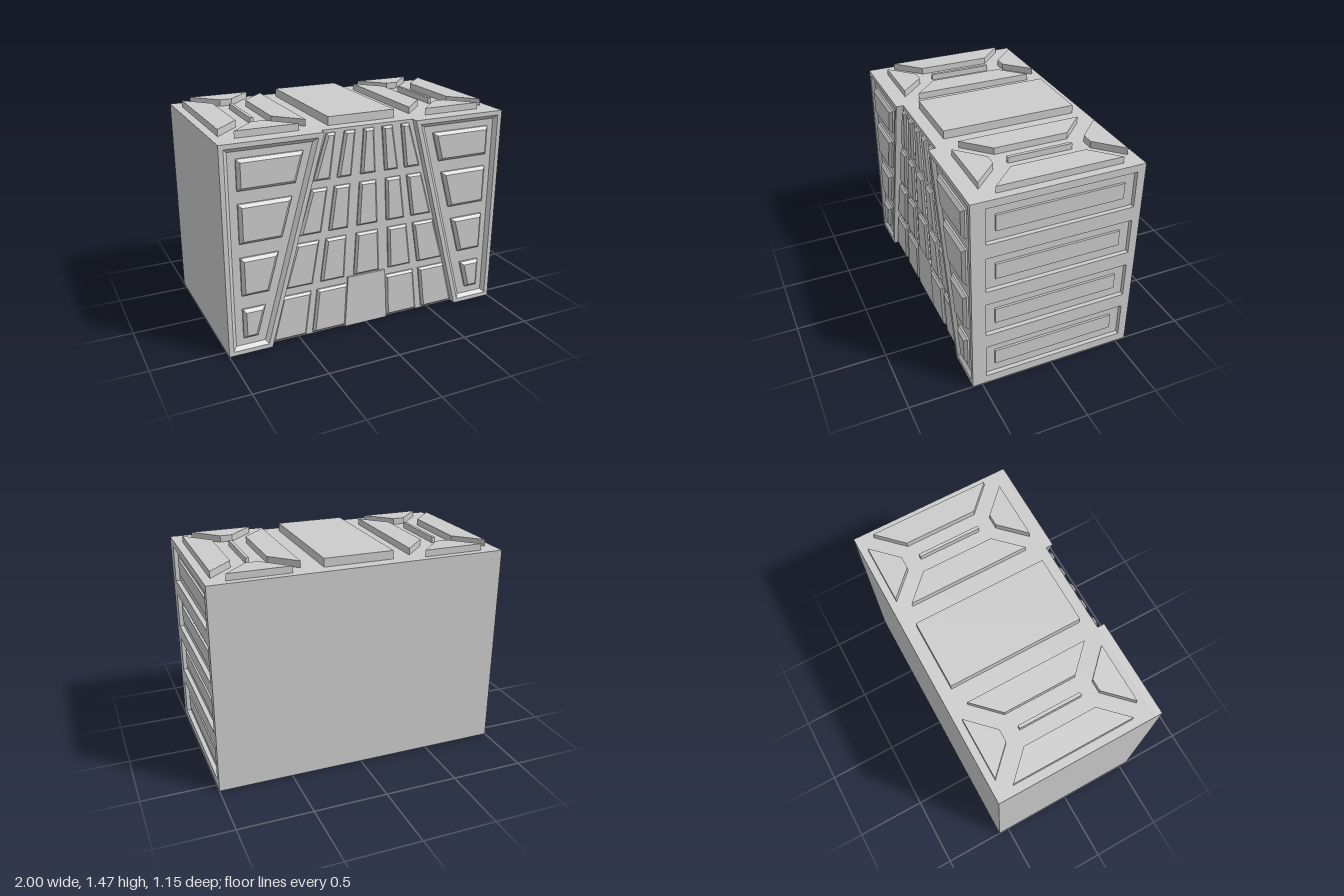
import * as THREE from 'three';

const grey = new THREE.MeshStandardMaterial({ color: 0xcccccc, flatShading: true });
const FLOOR = 0.515, RIM = 0.565, TOP = 1.41;

function add(parent, name, geometry, x = 0, y = 0, z = 0) {
  const mesh = new THREE.Mesh(geometry, grey);
  mesh.name = name;
  mesh.position.set(x, y, z);
  parent.add(mesh);
  return mesh;
}

const shapeOf = pts => new THREE.Shape(pts.map(p => new THREE.Vector2(...p)));
const rect = (x0, y0, x1, y1) => [[x0, y0], [x1, y0], [x1, y1], [x0, y1]];
const mirrored = pts => pts.map(([x, y]) => [-x, y]).reverse();

// Move every side of a counter-clockwise polygon inwards by d
function inset(pts, d) {
  const n = pts.length;
  const sides = pts.map(([x, y], i) => {
    const [x2, y2] = pts[(i + 1) % n];
    const l = Math.hypot(x2 - x, y2 - y);
    const a = -(y2 - y) / l, b = (x2 - x) / l;
    return [a, b, a * x + b * y + d];
  });
  return sides.map(([a2, b2, c2], i) => {
    const [a1, b1, c1] = sides[(i + n - 1) % n];
    const det = a1 * b2 - a2 * b1;
    return [(c1 * b2 - c2 * b1) / det, (a1 * c2 - a2 * c1) / det];
  });
}

// Join counter-clockwise loops [points, z] by bands and close the last one
function loft(loops) {
  const out = [];
  const rings = loops.map(([pts, z]) => pts.map(([x, y]) => [x, y, z]));
  for (let k = 0; k + 1 < rings.length; k++) {
    const a = rings[k], b = rings[k + 1], n = a.length;
    for (let i = 0; i < n; i++) {
      const j = (i + 1) % n;
      out.push(...a[i], ...a[j], ...b[j], ...a[i], ...b[j], ...b[i]);
    }
  }
  const cap = rings[rings.length - 1];
  for (let i = 1; i + 1 < cap.length; i++) out.push(...cap[0], ...cap[i], ...cap[i + 1]);
  const g = new THREE.BufferGeometry();
  g.setAttribute('position', new THREE.Float32BufferAttribute(out, 3));
  g.computeVertexNormals();
  return g;
}

// Flat plate on the roof, outline in x and z
function roofPlate(parent, name, pts, height) {
  const g = new THREE.ExtrudeGeometry(shapeOf(pts.map(([x, z]) => [x, -z])),
    { depth: height, bevelEnabled: false });
  add(parent, name, g.rotateX(-Math.PI / 2), 0, TOP, 0);
}

export function createModel() {
  const model = new THREE.Group();
  model.name = 'building';

  // Main block
  add(model, 'body', new THREE.BoxGeometry(1.97, TOP, FLOOR + 0.575), -0.015, TOP / 2, (FLOOR - 0.575) / 2);

  // Left wall with four sunken bays, each holding a raised bar
  const wall = shapeOf(rect(-FLOOR, 0, 0.575, TOP));
  for (let i = 0; i < 4; i++) {
    const y = 0.06 + i * 0.35;
    wall.holes.push(new THREE.Path(rect(-0.47, y, 0.52, y + 0.25).map(p => new THREE.Vector2(...p))));
    add(model, 'wallBar', new THREE.BoxGeometry(0.02, 0.11, 0.85), 0.975, y + 0.125, -0.025);
  }
  const wallGeo = new THREE.ExtrudeGeometry(wall, { depth: 0.03, bevelEnabled: false });
  add(model, 'sideWall', wallGeo.rotateY(Math.PI / 2), 0.97, 0, 0);

  // Framed front wings with four bevelled blocks each
  const wing = [[0.705, 0], [1, 0], [1, TOP], [0.325, TOP]];
  const rows = [[0.11, 0.315], [0.41, 0.67], [0.765, 1.025], [1.11, 1.31]];
  const slant = y => 0.83 - 0.28 * y;
  for (const side of [1, -1]) {
    const place = pts => (side > 0 ? pts : mirrored(pts));
    const w = place(wing);
    add(model, 'wingPanel', loft([[w, FLOOR], [w, RIM], [inset(w, 0.03), RIM], [inset(w, 0.055), 0.543]]));
    for (const [y0, y1] of rows) {
      const p = place([[slant(y0), y0], [0.895, y0], [0.895, y1], [slant(y1), y1]]);
      add(model, 'wingBlock', loft([[p, 0.54], [p, 0.555], [inset(p, 0.02), 0.575]]));
    }
  }

  // Sunken centre: rows of tapering panes [bottom, top, [bottom x0, x1, top x0, x1] ...]
  const panes = [
    [0.015, 0.325, [0.16, 0.4, 0.145, 0.365], [0.45, 0.695, 0.41, 0.615]],
    [0.38, 0.68, [-0.095, 0.095, -0.08, 0.08], [0.17, 0.34, 0.155, 0.3], [0.4, 0.6, 0.35, 0.51]],
    [0.735, 1.035, [-0.075, 0.075, -0.06, 0.06], [0.145, 0.28, 0.13, 0.24], [0.337, 0.487, 0.29, 0.4]],
    [1.09, 1.39, [-0.053, 0.053, -0.035, 0.035], [0.123, 0.22, 0.096, 0.17], [0.273, 0.385, 0.235, 0.294]],
  ];
  for (const [y0, y1, ...cells] of panes) {
    for (const [a, b, c, d] of cells) {
      const p = [[a, y0], [b, y0], [d, y1], [c, y1]];
      for (const q of a < 0 ? [p] : [p, mirrored(p)]) {
        add(model, 'pane', loft([[q, FLOOR], [q, 0.525], [inset(q, 0.014), 0.54]]));
      }
    }
  }
  const door = [[-0.16, 0], [0.16, 0], [0.14, 0.37], [-0.14, 0.37]];
  add(model, 'door', loft([[door, FLOOR], [door, 0.53]]));

  // Roof: central slab and a vent cluster on each side
  roofPlate(model, 'roofSlab', rect(-0.24, -0.49, 0.235, 0.43), 0.057);
  for (const cx of [-0.66, 0.66]) {
    const vent = new THREE.Group();
    vent.name = 'roofVent';
    vent.position.x = cx;
    model.add(vent);
    for (const s of [1, -1]) {
      roofPlate(vent, 'ventSide', [[s * 0.285, -0.45], [s * 0.285, 0.385], [s * 0.118, 0.217], [s * 0.118, -0.283]], 0.045);
      const mid = -0.033;
      roofPlate(vent, 'ventEnd', [[-0.208, mid + s * 0.493], [0.208, mid + s * 0.493],
        [0.042, mid + s * 0.327], [-0.042, mid + s * 0.327]], 0.045);
    }
    roofPlate(vent, 'ventBar', rect(-0.011, -0.25, 0.011, 0.185), 0.04);
  }
  return model;
}
